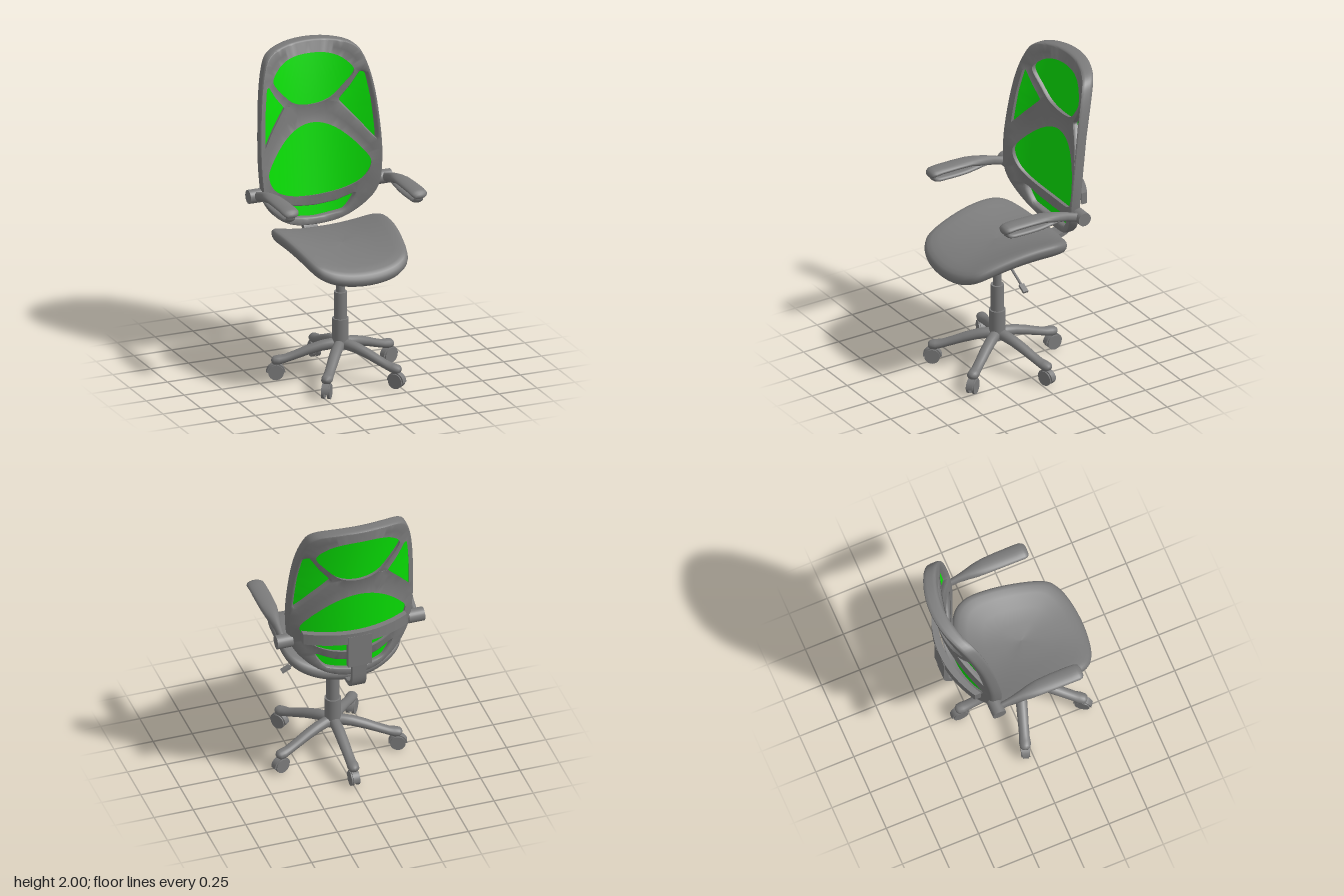
import * as THREE from 'three';
import { mergeVertices, toCreasedNormals } from 'three/addons/utils/BufferGeometryUtils.js';

const grey = new THREE.MeshStandardMaterial({ color: 0x7a7a7a, side: THREE.DoubleSide });
const green = new THREE.MeshStandardMaterial({ color: 0x08e004, side: THREE.DoubleSide });

function add(parent, name, geometry, material = grey) {
  const mesh = new THREE.Mesh(geometry, material);
  mesh.name = name;
  parent.add(mesh);
  return mesh;
}
function group(name) {
  const g = new THREE.Group();
  g.name = name;
  return g;
}

// Skin over rings of points; each ring runs counter-clockwise about the direction of travel
function loft(rings) {
  const n = rings[0].length, index = [];
  for (let i = 0; i < rings.length - 1; i++) {
    for (let j = 0; j < n; j++) {
      const a = i * n + j, b = i * n + (j + 1) % n;
      index.push(a, b, b + n, a, b + n, a + n);
    }
  }
  const g = new THREE.BufferGeometry().setFromPoints(rings.flat());
  g.setIndex(index);
  g.computeVertexNormals();
  return g;
}

// Limb along z from oval stations [z, y, half width, half height]
const limb = (stations, n = 20) => loft(stations.map(([z, y, w, h]) => Array.from({ length: n }, (_, j) => {
  const a = (j / n) * Math.PI * 2;
  return new THREE.Vector3(w * Math.cos(a), y + h * Math.sin(a), z);
})));

// Closed smooth outline through points
function loop(pts, perPoint = 5, tension = 0.5) {
  const curve = new THREE.CatmullRomCurve3(pts.map(([x, y]) => new THREE.Vector3(x, y, 0)), true, 'catmullrom', tension);
  return curve.getPoints(pts.length * perPoint).slice(0, -1).map(p => new THREE.Vector2(p.x, p.y));
}

// Complete a half outline (first and last points on the centre line)
const mirrored = half => [...half, ...half.slice(1, -1).reverse().map(([x, y]) => [-x, y])];

// Even out flat faces by flipping edges, then split long edges so the sheet bends smoothly
function refine(source, maxLength) {
  const merged = mergeVertices(source.deleteAttribute('normal').deleteAttribute('uv'));
  const index = [...merged.index.array], pos = merged.attributes.position, out = [];
  const P = Array.from({ length: pos.count }, (_, i) => new THREE.Vector3().fromBufferAttribute(pos, i));
  const corner = (i, k) => index[i - (i % 3) + ((i + k) % 3)];
  const angle = (c, a, b) => P[a].clone().sub(P[c]).angleTo(P[b].clone().sub(P[c]));
  for (let pass = 0, flips = 1; flips && pass < 80; pass++) {
    flips = 0;
    const edges = new Map(index.map((a, i) => [`${a},${corner(i, 1)}`, i])), used = new Set();
    for (const i of edges.values()) {
      const a = corner(i, 0), b = corner(i, 1), c = corner(i, 2), j = edges.get(`${b},${a}`);
      if (j === undefined) continue;
      const d = corner(j, 2), t = i - (i % 3), u = j - (j % 3);
      if (used.has(t) || used.has(u) || c === d || [b, c, d].some(v => Math.abs(P[v].z - P[a].z) > 1e-6)) continue;
      if (angle(c, a, b) + angle(d, a, b) < Math.PI + 1e-3) continue;
      index.splice(t, 3, a, d, c);
      index.splice(u, 3, d, b, c);
      used.add(t).add(u);
      flips++;
    }
  }
  const split = t => {
    const d = t.map((v, i) => v.distanceTo(t[(i + 1) % 3]));
    const i = d.indexOf(Math.max(...d));
    if (d[i] <= maxLength) return out.push(...t);
    const a = t[i], b = t[(i + 1) % 3], c = t[(i + 2) % 3], m = a.clone().add(b).multiplyScalar(0.5);
    split([a, m, c]);
    split([m, b, c]);
  };
  for (let i = 0; i < index.length; i += 3) split([0, 1, 2].map(k => P[index[i + k]]));
  return new THREE.BufferGeometry().setFromPoints(out);
}

// Backrest curvature: leans back with height, wraps forward at the sides, thickens at the top
function bend(geometry) {
  const p = geometry.attributes.position;
  for (let i = 0; i < p.count; i++) {
    const x = p.getX(i), y = p.getY(i), t = Math.max(0, (y - 1.6) / 0.4);
    p.setZ(i, p.getZ(i) * (1 + 0.2 * t) - 0.29 - 0.1 * (y - 0.86) - 0.012 * t * t + 0.87 * x * x);
  }
  return toCreasedNormals(geometry, 0.6);
}

function makeBackrest() {
  const g = group('backrest');
  const outline = loop(mirrored([[0, 2], [0.16, 1.99], [0.28, 1.955], [0.335, 1.87], [0.375, 1.7], [0.398, 1.45],
    [0.4, 1.25], [0.375, 1.08], [0.29, 0.96], [0.16, 0.875], [0, 0.85]]), 6);
  const sideHole = [[0.3, 1.785], [0.245, 1.7], [0.18, 1.62], [0.185, 1.6], [0.28, 1.49], [0.37, 1.38],
    [0.369, 1.48], [0.358, 1.62], [0.335, 1.77]];
  const holes = [
    loop(mirrored([[0, 1.93], [0.12, 1.92], [0.215, 1.88], [0.28, 1.795], [0.21, 1.695], [0.12, 1.615], [0, 1.59]])),
    loop(mirrored([[0, 1.5], [0.1, 1.48], [0.2, 1.42], [0.3, 1.32], [0.35, 1.23], [0.3, 1.12], [0.175, 1.05], [0, 1.025]])),
    loop([[0.24, 1.025], [0.13, 0.985], [0, 0.97], [-0.13, 0.985], [-0.24, 1.025], [-0.175, 0.93], [0, 0.9], [0.175, 0.93]], 6, 0.3),
    loop(sideHole, 5, 0.2),
    loop(sideHole.map(([x, y]) => [-x, y]), 5, 0.2),
  ];
  const shape = new THREE.Shape(outline);
  shape.holes = holes.map(h => new THREE.Path(h));
  const frame = new THREE.ExtrudeGeometry(shape, {
    depth: 0.03, bevelThickness: 0.02, bevelSize: 0.012, bevelOffset: -0.012, bevelSegments: 3,
  }).translate(0, 0, -0.05);
  add(g, 'backFrame', bend(refine(frame, 0.08)));
  // Mesh panels stretched inside the openings
  for (const h of holes) {
    const panel = new THREE.ShapeGeometry(new THREE.Shape(h)).translate(0, 0, -0.035);
    add(g, 'meshPanel', bend(refine(panel, 0.06)), green);
  }
  return g;
}

function makeBackSupport() {
  const g = group('backSupport');
  // Curved cross bar behind the backrest
  const bar = new THREE.BoxGeometry(0.66, 0.075, 0.04, 24);
  const p = bar.attributes.position;
  for (let i = 0; i < p.count; i++) p.setZ(i, p.getZ(i) - 0.42 + 0.87 * p.getX(i) ** 2);
  add(g, 'crossBar', toCreasedNormals(bar, 0.6)).position.y = 1.175;
  add(g, 'uprightPlate', new THREE.BoxGeometry(0.15, 0.22, 0.03)).position.set(0, 1.08, -0.425);
  // Bent strut running down and forward under the seat
  const s = new THREE.Shape().moveTo(0.437, 1.0).lineTo(0.432, 0.9).bezierCurveTo(0.43, 0.81, 0.39, 0.775, 0.32, 0.77)
    .lineTo(-0.05, 0.75).lineTo(-0.05, 0.775).lineTo(0.3, 0.795).bezierCurveTo(0.37, 0.8, 0.4, 0.83, 0.402, 0.9).lineTo(0.407, 1.0);
  const strut = new THREE.ExtrudeGeometry(s, { depth: 0.09, bevelEnabled: false, curveSegments: 14 });
  add(g, 'strut', toCreasedNormals(strut.translate(0, 0, -0.045).rotateY(Math.PI / 2), 0.5));
  return g;
}

function makeSeat() {
  const outline = loop(mirrored([[0, 0.502], [0.15, 0.487], [0.25, 0.45], [0.31, 0.38], [0.348, 0.2], [0.37, 0],
    [0.364, -0.13], [0.31, -0.215], [0.18, -0.275], [0, -0.3]]));
  const midHeight = (x, z) => 0.823 - (z > 0 ? 0.28 : 0.2) * z * z
    + 0.085 * Math.pow(Math.abs(x) / 0.37, 2.3) * (1 - 1.5 * Math.max(z, 0) ** 2);
  // [outline scale, height from the middle surface], underside to top
  const layers = [[0, -0.05], [0.3, -0.05], [0.55, -0.05], [0.78, -0.05], [0.9, -0.046], [0.96, -0.037], [0.99, -0.02],
    [1, 0], [0.99, 0.018], [0.96, 0.032], [0.9, 0.042], [0.78, 0.049], [0.55, 0.05], [0.3, 0.05], [0, 0.05]];
  return loft(layers.map(([k, off]) => outline.map(o => {
    const x = o.x * k, z = 0.1 + (o.y - 0.1) * k;
    return new THREE.Vector3(x, midHeight(x, z) + off, z);
  })));
}

function makeArm(side) {
  const g = group(side > 0 ? 'leftArm' : 'rightArm');
  g.position.x = 0.423 * side;
  add(g, 'armPad', limb([[-0.25, 1.115, 0.001, 0.001], [-0.245, 1.115, 0.018, 0.028], [-0.2, 1.125, 0.02, 0.028],
    [-0.14, 1.145, 0.023, 0.03], [-0.08, 1.16, 0.033, 0.032], [-0.03, 1.172, 0.044, 0.03], [0.03, 1.184, 0.051, 0.024],
    [0.12, 1.188, 0.054, 0.022], [0.24, 1.188, 0.055, 0.022], [0.285, 1.183, 0.054, 0.024], [0.305, 1.177, 0.045, 0.022],
    [0.314, 1.172, 0.03, 0.014], [0.316, 1.172, 0.001, 0.001]]));
  // Thin bar closing the loop under the pad
  const path = new THREE.CatmullRomCurve3([[1.175, 0.285], [1.15, 0.287], [1.132, 0.265], [1.126, 0.2], [1.126, 0.06],
    [1.134, -0.01], [1.145, -0.08]].map(([y, z]) => new THREE.Vector3(0, y, z)));
  add(g, 'armLoop', new THREE.TubeGeometry(path, 40, 0.015, 12)).scale.x = 2;
  add(g, 'armPivot', new THREE.CylinderGeometry(0.043, 0.043, 0.1, 28).rotateZ(Math.PI / 2)).position.set(-0.003 * side, 1.115, -0.243);
  return g;
}

function makeLeg() {
  const g = group('baseLeg');
  add(g, 'legArm', limb([[0, 0.214, 0.032, 0.034], [0.06, 0.214, 0.034, 0.034], [0.12, 0.204, 0.035, 0.033],
    [0.2, 0.18, 0.034, 0.031], [0.28, 0.15, 0.032, 0.028], [0.34, 0.129, 0.032, 0.027], [0.375, 0.122, 0.036, 0.03],
    [0.405, 0.12, 0.032, 0.027], [0.418, 0.12, 0.019, 0.015], [0.421, 0.12, 0.001, 0.001]]));
  // Twin-wheel caster
  const caster = group('caster');
  caster.position.z = 0.393;
  for (const s of [-1, 1]) {
    add(caster, 'wheel', new THREE.CylinderGeometry(0.047, 0.047, 0.017, 24).rotateZ(Math.PI / 2)).position.set(0.018 * s, 0.047, 0);
  }
  add(caster, 'hood', new THREE.CylinderGeometry(0.057, 0.057, 0.038, 20, 1, false, 0, Math.PI).rotateZ(Math.PI / 2)).position.y = 0.045;
  add(caster, 'stem', new THREE.CylinderGeometry(0.012, 0.012, 0.05, 12)).position.set(0, 0.1, -0.01);
  return g.add(caster);
}

export function createModel() {
  const chair = group('officeChair').add(makeBackrest(), makeBackSupport(), makeArm(1), makeArm(-1));
  add(chair, 'seat', makeSeat());
  // Base, gas column and seat plate share one axis
  const base = group('base');
  base.position.set(-0.005, 0, 0.085);
  for (let i = 0; i < 5; i++) {
    const leg = makeLeg();
    leg.rotation.y = Math.PI + (i * Math.PI * 2) / 5;
    base.add(leg);
  }
  for (const [name, r, y0, y1] of [['columnSleeve', 0.05, 0.185, 0.38], ['columnMiddle', 0.04, 0.38, 0.55],
    ['columnRod', 0.027, 0.55, 0.76], ['seatPlate', 0.135, 0.738, 0.775]]) {
    add(base, name, new THREE.CylinderGeometry(r, r, y1 - y0, 32)).position.y = (y0 + y1) / 2;
  }
  // Height lever on the left side
  const lever = group('heightLever');
  lever.position.set(0.09, 0.765, 0.085);
  lever.rotation.z = -0.48;
  add(lever, 'leverRod', new THREE.CylinderGeometry(0.008, 0.008, 0.22, 10).rotateZ(Math.PI / 2)).position.x = 0.11;
  add(lever, 'leverHandle', new THREE.BoxGeometry(0.06, 0.016, 0.034)).position.x = 0.232;
  return chair.add(base, lever);
}
